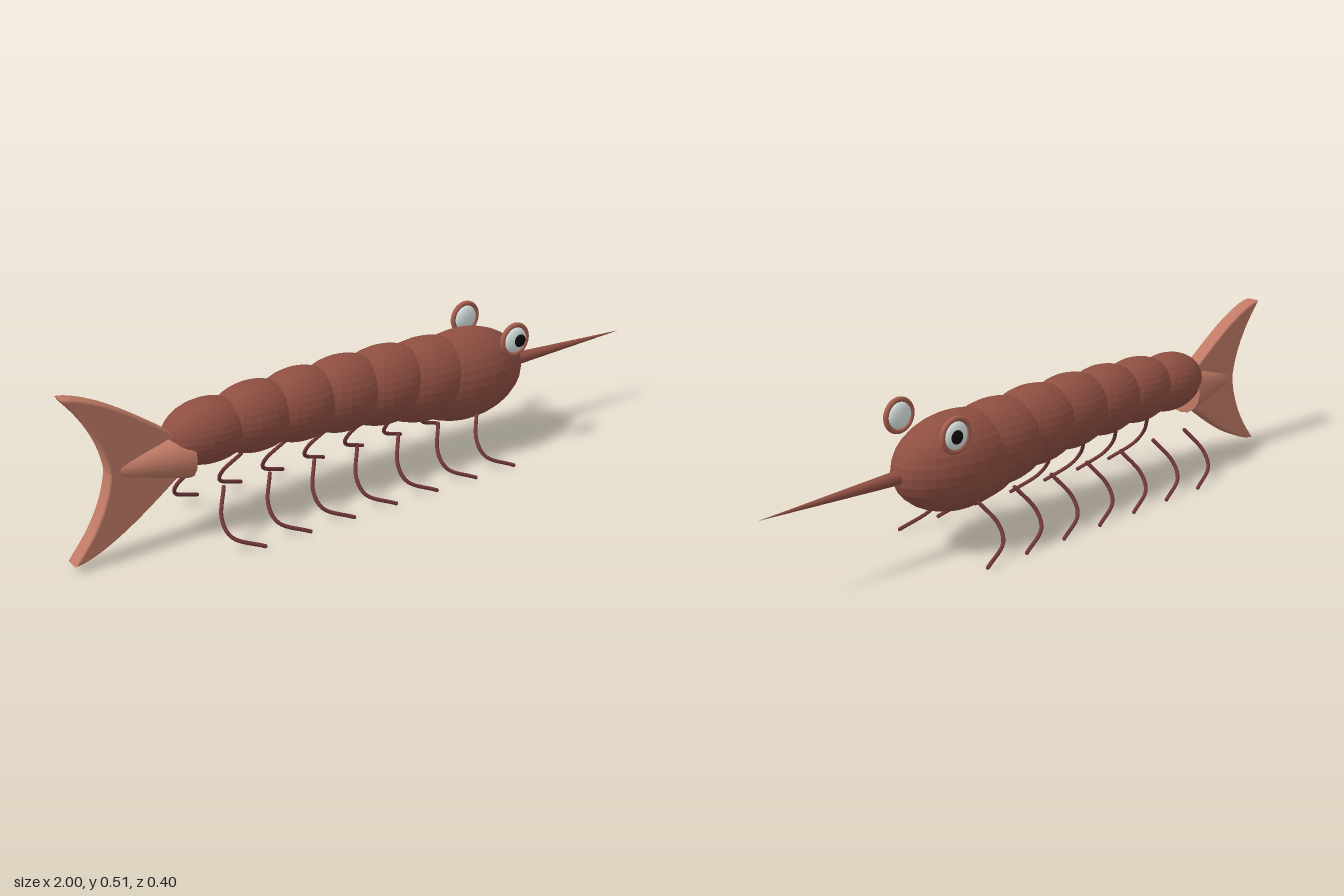
import * as THREE from 'three';

const mat = (color, flatShading = false) => new THREE.MeshStandardMaterial({ color, flatShading });

export function createModel() {
  const model = new THREE.Group();
  const shell = mat(0x8f4f42, true);
  const legMat = mat(0x74383a);
  const finMat = mat(0xc07a65);
  const rimMat = mat(0xa8604f);
  const white = mat(0xdde8e4);
  const black = mat(0x0a0a0a);

  const add = (name, geometry, material, parent = model) => {
    const mesh = new THREE.Mesh(geometry, material);
    mesh.name = name;
    parent.add(mesh);
    return mesh;
  };

  // Overlapping body segments, tail to head: [centre y, rx, ry, rz]
  const segments = [
    [0.310, 0.140, 0.095, 0.090],
    [0.315, 0.145, 0.105, 0.095],
    [0.315, 0.150, 0.111, 0.100],
    [0.312, 0.160, 0.117, 0.104],
    [0.303, 0.175, 0.123, 0.110],
    [0.286, 0.195, 0.132, 0.117],
    [0.268, 0.220, 0.146, 0.125],
  ];
  const segmentX = (i) => -0.57 + 0.15 * i;
  segments.forEach(([y, rx, ry, rz], i) => {
    const geo = new THREE.SphereGeometry(1, 32, 16).scale(rx, ry, rz);
    add(i === 6 ? 'head' : 'bodySegment', geo, shell).position.set(segmentX(i), y, 0);
  });

  // Pointed snout spike
  const spike = add('snoutSpike', new THREE.ConeGeometry(0.022, 0.48, 16), shell);
  spike.rotation.z = -Math.PI / 2;
  spike.position.set(0.76, 0.266, 0);

  for (const side of [1, -1]) {
    // Legs: one hooked tube under each segment
    for (let i = 0; i < segments.length; i++) {
      const path = new THREE.CatmullRomCurve3([
        [0, 0.165, 0.08], [-0.038, 0.098, 0.13], [-0.028, 0.053, 0.163], [0.06, 0.011, 0.195],
      ].map(([x, y, z]) => new THREE.Vector3(x + segmentX(i), y, z * side)));
      const leg = new THREE.Group();
      leg.name = side > 0 ? 'frontSideLeg' : 'backSideLeg';
      add('legTube', new THREE.TubeGeometry(path, 20, 0.006, 8), legMat, leg);
      // Caps close both tube ends
      for (const t of [0, 1]) {
        add('legEnd', new THREE.SphereGeometry(0.006, 8, 6), legMat, leg).position.copy(path.getPoint(t));
      }
      model.add(leg);
    }

    // Eye: rim, white and pupil
    const eye = new THREE.Group();
    eye.name = side > 0 ? 'frontSideEye' : 'backSideEye';
    eye.position.set(0.437, 0.394, 0.122 * side);
    add('eyeRim', new THREE.TorusGeometry(0.047, 0.008, 12, 32), rimMat, eye);
    add('eyeWhite', new THREE.SphereGeometry(1, 24, 16).scale(0.042, 0.042, 0.016), white, eye);
    add('pupil', new THREE.SphereGeometry(1, 20, 12).scale(0.02, 0.02, 0.008), black, eye)
      .position.set(0.008, 0, 0.017 * side);
    model.add(eye);
  }

  // Tail base: tapered stub
  const stub = add('tailBase', new THREE.CylinderGeometry(0.027, 0.078, 0.205, 16), finMat);
  stub.rotation.z = Math.PI / 2;
  stub.position.set(-0.7475, 0.267, 0);

  // Tail fan: two curved lobes mirrored about the body axis
  for (const s of [1, -1]) {
    const lobe = new THREE.Shape();
    lobe.moveTo(-0.995, 0.24 * s);
    lobe.bezierCurveTo(-0.90, 0.22 * s, -0.80, 0.15 * s, -0.65, 0.035 * s);
    lobe.lineTo(-0.65, 0);
    lobe.lineTo(-0.875, 0);
    lobe.quadraticCurveTo(-0.89, 0.125 * s, -0.995, 0.24 * s);
    const geo = new THREE.ExtrudeGeometry(lobe, {
      depth: 0.038, curveSegments: 16,
      bevelEnabled: true, bevelThickness: 0.006, bevelSize: 0.005, bevelSegments: 2,
    });
    add(s > 0 ? 'upperTailFin' : 'lowerTailFin', geo, finMat).position.set(0, 0.267, -0.019);
  }

  return model;
}
